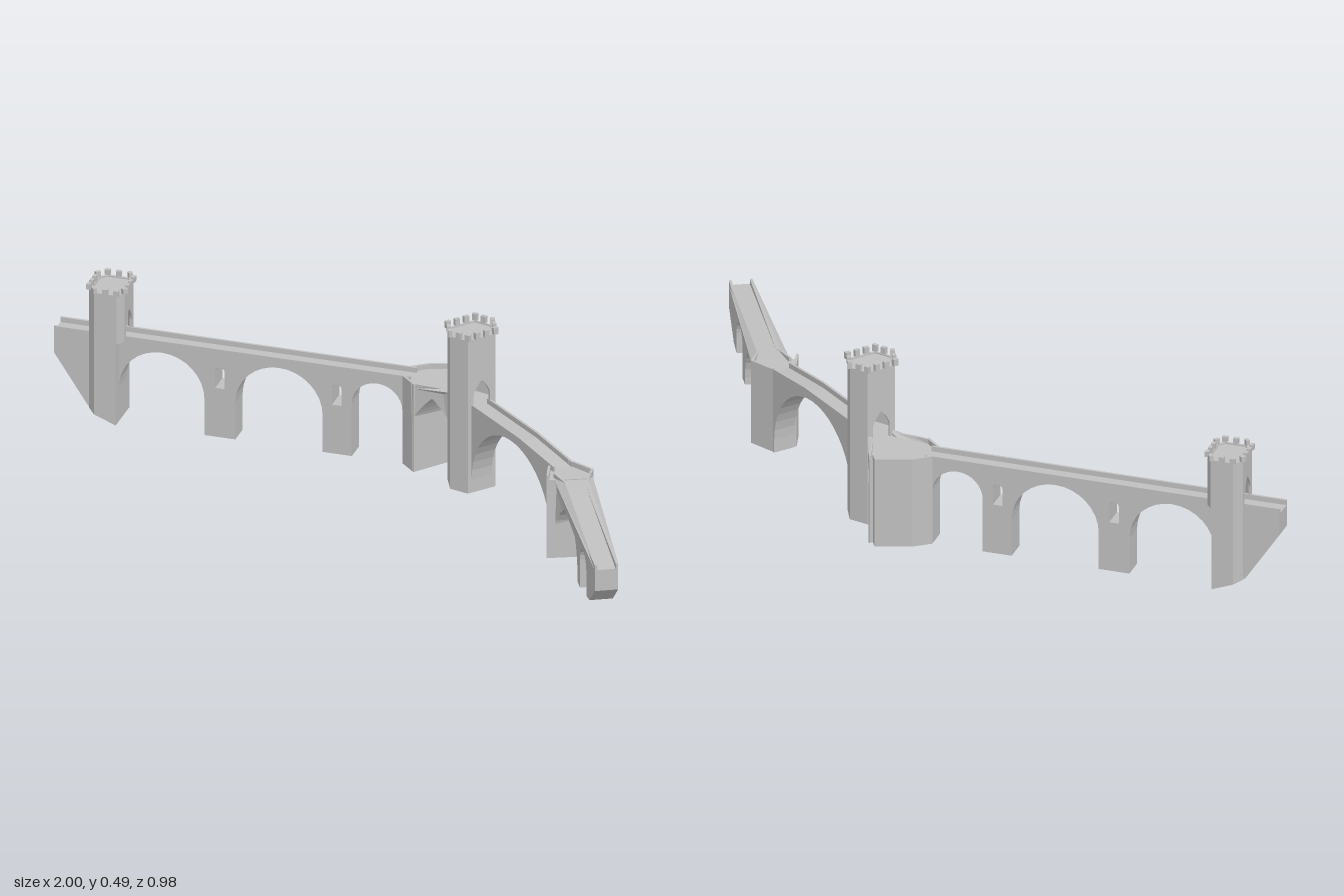
import * as THREE from 'three';

const stone = new THREE.MeshStandardMaterial({ color: 0xc0c0c0, side: THREE.DoubleSide });
stone.name = 'stone grey';

const HALF = 0.033;      // half width of the roadway
const PARAPET = 0.015;   // parapet height
const THICK = 0.007;     // parapet thickness
const { lerp, mapLinear, clamp } = THREE.MathUtils;

const toShape = (pts) => new THREE.Shape(pts.map(([x, y]) => new THREE.Vector2(x, y)));

function add(parent, geometry, name) {
  const mesh = new THREE.Mesh(geometry, stone);
  mesh.name = name;
  parent.add(mesh);
  return mesh;
}

// Local frame: x runs along the road, z across it
function frame(name, x, z, dx, dz) {
  const g = new THREE.Group();
  g.name = name;
  g.position.set(x, 0, z);
  g.rotation.y = -Math.atan2(dz, dx);
  return g;
}

// Round arch from u0 to u1 with its crown at the given height
function roundArch(u0, u1, crown, n = 16) {
  const r = (u1 - u0) / 2, pts = [];
  for (let i = 0; i <= n; i++) {
    const a = Math.PI * (1 - i / n);
    pts.push([(u0 + u1) / 2 + r * Math.cos(a), crown - r + r * Math.sin(a)]);
  }
  return pts;
}

// Pointed arch made of two bulging sides
function pointedArch(u0, u1, spring, crown, n = 6) {
  const half = [], w = (u1 - u0) / 2, mid = (u0 + u1) / 2;
  for (let i = 0; i <= n; i++) {
    const t = i / n;
    half.push([w * (1 - Math.pow(t, 1.5)), lerp(spring, crown, t)]);
  }
  return [
    ...half.map(([x, y]) => [mid - x, y]),
    ...half.slice(0, -1).reverse().map(([x, y]) => [mid + x, y]),
  ];
}

// Extrude a side elevation across the road; extra(u) widens it locally
function across(shape, v0, v1, extra) {
  const g = new THREE.ExtrudeGeometry(shape, { depth: v1 - v0, bevelEnabled: false, curveSegments: 8 });
  g.translate(0, 0, v0);
  if (extra) {
    const p = g.attributes.position;
    for (let i = 0; i < p.count; i++) p.setZ(i, p.getZ(i) + Math.sign(p.getZ(i)) * extra(p.getX(i)));
    g.computeVertexNormals();
  }
  return g;
}

// Bridge span: body under the road plus a parapet on each side
function span(parent, name, bottom, top, { holes = [], extra } = {}) {
  const road = top.map(([u, y]) => [u, y - PARAPET]);
  const body = toShape([...bottom, ...[...road].reverse()]);
  body.holes.push(...holes.map((h) => toShape(h)));
  add(parent, across(body, -HALF, HALF, extra), name);
  const rail = toShape([...road, ...[...top].reverse()]);
  add(parent, across(rail, HALF - THICK, HALF, extra), name + 'ParapetLeft');
  add(parent, across(rail, -HALF, -HALF + THICK, extra), name + 'ParapetRight');
}

// Upright prism over a footprint
function prism(pts, y0, y1) {
  const g = new THREE.ExtrudeGeometry(toShape(pts.map(([x, z]) => [x, -z])), { depth: y1 - y0, bevelEnabled: false });
  return g.rotateX(-Math.PI / 2).translate(0, y0, 0);
}

// Upright wall on one footprint edge, with an optional pointed doorway
function wall(parent, name, p, q, y0, y1, door) {
  const len = Math.hypot(q[0] - p[0], q[1] - p[1]), m = len / 2;
  const foot = door ? [[m - 0.027, y0], ...pointedArch(m - 0.027, m + 0.027, 0.295, 0.34), [m + 0.027, y0]] : [];
  const s = toShape([[0, y0], ...foot, [len, y0], [len, y1], [0, y1]]);
  const g = new THREE.ExtrudeGeometry(s, { depth: THICK, bevelEnabled: false });
  g.rotateY(-Math.atan2(q[1] - p[1], q[0] - p[0])).translate(p[0], 0, p[1]);
  add(parent, g, name);
}

// Hollow gate tower with doorways across the road and merlons on top
function tower(parent, name, pts, y0, y1, merlon) {
  const merlons = new THREE.Group();
  merlons.name = name + 'Merlons';
  parent.add(merlons);
  pts.forEach((p, i) => {
    const q = pts[(i + 1) % pts.length];
    const len = Math.hypot(q[0] - p[0], q[1] - p[1]);
    const isGate = Math.abs(p[0] - q[0]) < 1e-6;
    wall(parent, name + (isGate ? 'GateWall' : 'Wall'), p, q, y0, y1, isGate);
    const n = Math.max(1, Math.round(len / 0.032));
    for (let k = 0; k < n; k++) {
      const m = add(merlons, new THREE.BoxGeometry(0.015, merlon, 0.011), 'merlon');
      m.position.set(lerp(p[0], q[0], k / n), y1 + merlon / 2, lerp(p[1], q[1], k / n));
      m.rotation.y = -Math.atan2(q[1] - p[1], q[0] - p[0]);
    }
  });
  add(parent, prism(pts.map(([x, z]) => {
    const cx = pts.reduce((s, a) => s + a[0], 0) / pts.length;
    return [cx + (x - cx) * 0.97, z * 0.97];
  }), y1 - 0.02, y1 - 0.004), name + 'Roof');
}

// Solid pier with parapets on the chosen edges
function pier(parent, name, pts, top, edges) {
  add(parent, prism(pts, 0, top - PARAPET), name);
  edges.forEach((i) => wall(parent, name + 'Parapet', pts[i], pts[(i + 1) % pts.length], top - PARAPET, top));
}

export function createModel() {
  const model = new THREE.Group();
  model.name = 'fortifiedBridge';

  // Long level stretch with three arches and two flood openings
  const west = frame('longStretch', 0, -0.376, 1, -0.076);
  model.add(west);
  const opening = (u) => [[u - 0.014, 0.15], ...roundArch(u - 0.014, u + 0.014, 0.215, 8), [u + 0.014, 0.15]];
  span(west, 'longSpan', [
    [-1, 0.19], [-0.9, 0.04], [-0.81, 0.005], ...roundArch(-0.81, -0.56, 0.235),
    [-0.56, 0], [-0.47, 0], ...roundArch(-0.47, -0.215, 0.24),
    [-0.215, 0], [-0.13, 0], ...roundArch(-0.13, 0.018, 0.235), [0.018, 0], [0.04, 0],
  ], [[-1, 0.27], [0.04, 0.27]], { holes: [opening(-0.515), opening(-0.174)] });

  // Outer gate tower on a base whose foot follows the bank
  const c = -0.843;
  const base = prism([[c - 0.052, -0.04], [c - 0.03, -0.062], [c + 0.033, -0.062],
    [c + 0.033, 0.062], [c - 0.03, 0.062], [c - 0.052, 0.04]], 0, 0.255);
  const bp = base.attributes.position;
  for (let i = 0; i < bp.count; i++) {
    if (bp.getY(i) < 0.1) bp.setY(i, mapLinear(bp.getX(i), -0.9, -0.81, 0.04, 0.005));
  }
  base.computeVertexNormals();
  add(west, base, 'outerTowerBase');
  tower(west, 'outerTower', [[c + 0.052, -0.04], [c + 0.052, 0.04], [c + 0.035, 0.062], [c - 0.03, 0.062],
    [c - 0.052, 0.04], [c - 0.052, -0.04], [c - 0.03, -0.062], [c + 0.035, -0.062]], 0.255, 0.405, 0.016);

  // Broad pier where the road bends
  pier(model, 'bendPier', [[0.015, -0.41], [0.06, -0.45], [0.155, -0.49], [0.175, -0.46],
    [0.07, -0.305], [0.02, -0.345]], 0.27, [0, 1, 2, 4]);

  // Middle stretch: small pointed arch, inner tower, great arch
  const middle = frame('middleStretch', 0.245, -0.303, 0.815, 0.58);
  model.add(middle);
  span(middle, 'pointedSpan',
    [[-0.155, 0], [-0.15, 0], ...pointedArch(-0.15, -0.053, 0.15, 0.235), [-0.053, 0], [0, 0]],
    [[-0.155, 0.27], [-0.115, 0.27], [-0.075, 0.27], [-0.04, 0.27]],
    { extra: (u) => clamp(mapLinear(u, -0.15, -0.075, 0.068, 0.013), 0.005, 0.068) });
  span(middle, 'greatSpan',
    [[0.04, 0], [0.053, 0], ...roundArch(0.053, 0.463, 0.245, 22), [0.463, 0], [0.48, 0]],
    [[0.04, 0.27], [0.3, 0.27], [0.48, 0.255]]);
  const hexagon = [[0.053, -0.045], [0.053, 0.045], [0, 0.07], [-0.053, 0.045], [-0.053, -0.045], [0, -0.07]];
  add(middle, prism(hexagon, 0, 0.255), 'innerTowerBase');
  tower(middle, 'innerTower', hexagon, 0.255, 0.47, 0.02);

  // Second bend pier
  pier(model, 'lowerBendPier', [[0.64, -0.06], [0.725, -0.03], [0.73, 0], [0.62, 0.06], [0.6, 0]], 0.255, [0, 1, 3]);

  // Descending stretch with two arches on the rising bank
  const east = frame('descendingStretch', 0.683, 0.015, 0.534, 0.846);
  model.add(east);
  span(east, 'descendingSpan', [
    [-0.01, 0], [0, 0], ...roundArch(0, 0.254, 0.195), [0.254, 0.045], [0.296, 0.045],
    ...roundArch(0.296, 0.402, 0.185, 12), [0.402, 0.07], [0.45, 0.08], [0.538, 0.15],
  ], [[-0.01, 0.253], [0.05, 0.251], [0.538, 0.229]],
  { extra: (u) => clamp(mapLinear(u, 0, 0.05, 0.022, 0), 0, 0.022) });

  return model;
}
